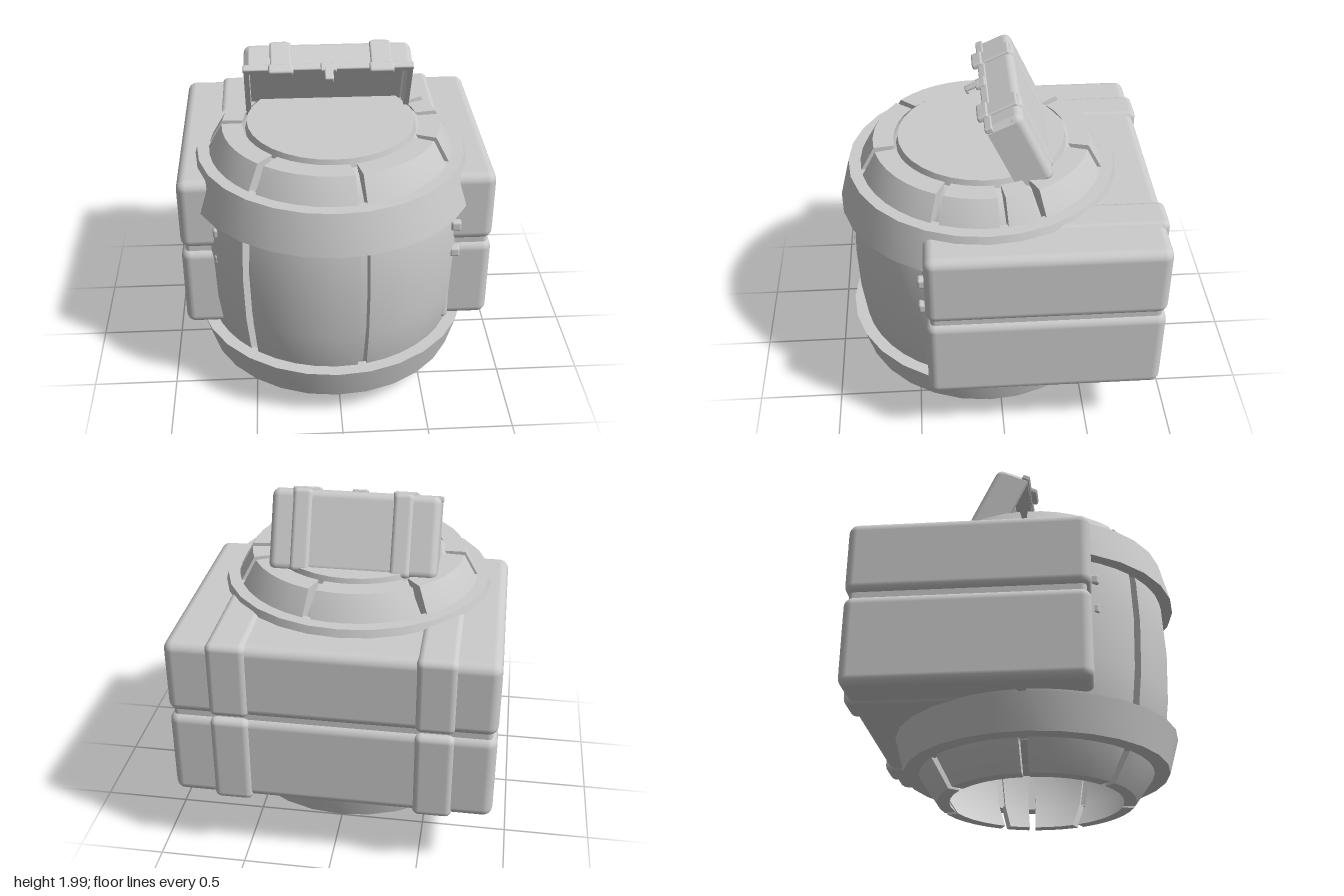
import * as THREE from 'three';
import { toCreasedNormals } from 'three/addons/utils/BufferGeometryUtils.js';
import { RoundedBoxGeometry } from 'three/addons/geometries/RoundedBoxGeometry.js';

const grey = new THREE.MeshStandardMaterial({ color: 0xcccccc });
const greyDouble = new THREE.MeshStandardMaterial({ color: 0xcccccc, side: THREE.DoubleSide });
const rad = THREE.MathUtils.degToRad;

function add(parent, name, geometry, x = 0, y = 0, z = 0, material = grey) {
  const mesh = new THREE.Mesh(geometry, material);
  mesh.name = name;
  mesh.position.set(x, y, z);
  parent.add(mesh);
  return mesh;
}

// Rounded box given by its lower and upper limits on each axis
function block(parent, name, [x0, x1], [y0, y1], [z0, z1], radius) {
  const geometry = new RoundedBoxGeometry(x1 - x0, y1 - y0, z1 - z0, 3, radius);
  return add(parent, name, geometry, (x0 + x1) / 2, (y0 + y1) / 2, (z0 + z1) / 2);
}

const points = (list) => list.map(([r, y]) => new THREE.Vector2(r, y));

// Ring of a closed profile, outer side going up and inner side going down
function ring(profile, segments, start = 0, sweep = Math.PI * 2) {
  const closed = points([...profile, profile[0]]);
  return toCreasedNormals(new THREE.LatheGeometry(closed, segments, start, sweep), 0.5);
}

function makeBarrel() {
  const barrel = new THREE.Group();
  barrel.name = 'barrel';
  barrel.position.set(-0.02, 0, 0.08);

  // Bulging staves, separated by gaps of uneven spacing
  const outer = [[0.57, 0], [0.68, 0.16], [0.75, 0.36], [0.78, 0.6], [0.79, 0.9],
    [0.775, 1.15], [0.73, 1.38], [0.71, 1.43], [0.63, 1.57]];
  const inner = [[0.51, 1.57], [0.6, 1.43], [0.69, 1.15], [0.71, 0.9], [0.7, 0.6],
    [0.67, 0.36], [0.61, 0.16], [0.5, 0]];
  const profile = [...outer, ...inner];
  const gaps = [-92, -40, 11, 66, 97, 115, 164, 218, 268];
  for (let i = 0; i < gaps.length - 1; i++) {
    const start = rad(gaps[i] + 2);
    const end = rad(gaps[i + 1] - 2);
    const segments = Math.max(2, Math.round((end - start) / 0.15));
    add(barrel, 'stave', ring(profile, segments, start, end - start));
    for (const angle of [start, end]) {
      const side = new THREE.ShapeGeometry(new THREE.Shape(points(profile)));
      add(barrel, 'staveSide', side.rotateY(angle - Math.PI / 2), 0, 0, 0, greyDouble);
    }
  }

  // Liner that closes the gaps from within
  const liner = points([[0.63, 0.16], [0.69, 0.36], [0.73, 0.6], [0.74, 0.9],
    [0.72, 1.15], [0.66, 1.4], [0.55, 1.53], [0.49, 1.54]]);
  add(barrel, 'liner', new THREE.LatheGeometry(liner, 40), 0, 0, 0, greyDouble);

  // Flared hoops
  add(barrel, 'lowerHoop', ring([[0.66, 0.16], [0.77, 0.16], [0.825, 0.36], [0.73, 0.36]], 28));
  add(barrel, 'upperHoop', ring([[0.76, 1.19], [0.84, 1.19], [0.78, 1.43], [0.69, 1.43]], 28));

  // Barrel head
  add(barrel, 'head', new THREE.CylinderGeometry(0.485, 0.5, 0.07, 32), 0, 1.555, 0);
  return barrel;
}

function makeChest() {
  const chest = new THREE.Group();
  chest.name = 'backChest';
  const front = 0.44, back = -0.905;
  const halves = [['chestBase', 0.4, 0.928], ['chestTop', 0.945, 1.385]];
  block(chest, 'chestSeam', [-0.885, 0.885], [0.85, 1.02], [back + 0.025, front - 0.025], 0.03);

  for (const [name, y0, y1] of halves) {
    block(chest, name, [-0.91, 0.91], [y0, y1], [back, front], 0.055);
    const isTop = name === 'chestTop';
    for (const [x0, x1] of [[-0.685, -0.46], [0.45, 0.675]]) {
      block(chest, 'strap', [x0, x1], [isTop ? y0 : y0 - 0.015, isTop ? y1 + 0.015 : y1],
        [back - 0.018, front + 0.02], 0.04);
    }
    // Clasps either side of the seam
    const y = isTop ? 1.07 : 0.89;
    for (const x of [-0.685, 0.685]) {
      block(chest, 'clasp', [x - 0.03, x + 0.03], [y - 0.03, y + 0.03], [0.42, 0.48], 0.015);
    }
  }
  return chest;
}

// Hollow open lid: local y runs along its depth, local z out of the opening
function makeLid() {
  const lid = new THREE.Group();
  lid.name = 'openLid';
  lid.position.set(-0.03, 1.9, 0.08);
  lid.rotation.x = rad(25);
  const w = 0.48, h = 0.47, wall = 0.03;

  const frame = new THREE.Shape(points([[-w, -h], [w, -h], [w, -0.03], [w - 0.03, 0], [0.03 - w, 0], [-w, -0.03]]));
  frame.holes.push(new THREE.Path(points([[-w + wall, -h + wall], [-w + wall, -wall],
    [w - wall, -wall], [w - wall, -h + wall]])));
  add(lid, 'lidWalls', new THREE.ExtrudeGeometry(frame, { depth: 0.16, bevelEnabled: false }), 0, 0, -0.16);
  block(lid, 'lidPanel', [-w, w], [-h, 0], [-0.21, -0.11], 0.045);
  block(lid, 'lidLip', [-w - 0.004, w + 0.004], [-0.025, 0.008], [-0.04, 0.004], 0.008);

  // Straps with buckles hanging over the lip
  for (const x of [-0.27, 0.3]) {
    block(lid, 'lidStrap', [x - 0.06, x + 0.06], [-0.03, 0.014], [-0.2, 0.005], 0.012);
    block(lid, 'lidStrap', [x - 0.06, x + 0.06], [-h, 0.006], [-0.222, -0.15], 0.03);
    block(lid, 'lidBuckle', [x - 0.07, x + 0.07], [-0.012, 0.024], [-0.03, 0.035], 0.012);
  }

  // Latch tab
  block(lid, 'latchPlate', [-0.045, 0.045], [-0.005, 0.022], [-0.035, 0.025], 0.008);
  block(lid, 'latchTab', [-0.025, 0.025], [0.004, 0.024], [0, 0.09], 0.008);
  block(lid, 'latchEnd', [-0.025, 0.025], [-0.012, 0.024], [0.07, 0.09], 0.008);
  return lid;
}

export function createModel() {
  const model = new THREE.Group();
  model.name = 'barrelWithChest';
  model.add(makeBarrel(), makeChest(), makeLid());
  return model;
}
